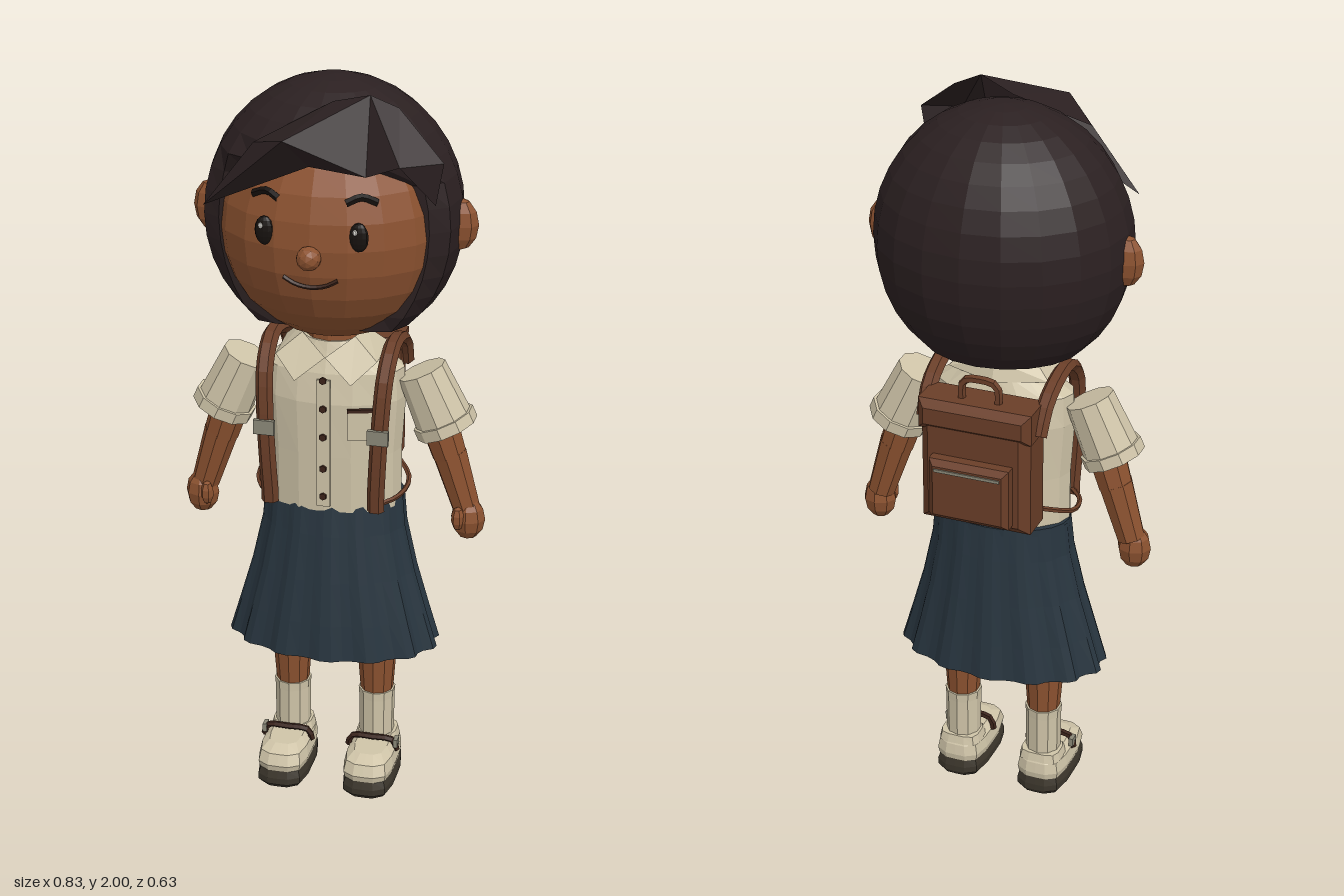
import * as THREE from 'three';

const mat = (name, color, sheet) => new THREE.MeshStandardMaterial({
  name, color, flatShading: true, side: sheet ? THREE.DoubleSide : THREE.FrontSide });
const V = (x, y, z) => new THREE.Vector3(x, y, z);

// Closed skin over elliptical rings [y, rx, rz, cz, cx]; wave(i) scales the radius round each ring.
function loft(rings, segs, wave = () => 1, caps = true) {
  const pos = [], idx = [];
  rings.forEach(([y, rx, rz, cz = 0, cx = 0], j) => {
    for (let i = 0; i < segs; i++) {
      const a = (i / segs) * Math.PI * 2, k = wave(i, j);
      pos.push(cx + Math.sin(a) * rx * k, y, cz + Math.cos(a) * rz * k);
    }
  });
  for (let j = 0; j < rings.length - 1; j++) for (let i = 0; i < segs; i++) {
    const n = (i + 1) % segs, a = j * segs, b = a + segs;
    idx.push(a + i, a + n, b + i, a + n, b + n, b + i);
  }
  if (caps) {
    const t = (rings.length - 1) * segs;
    for (let i = 1; i < segs - 1; i++) idx.push(0, i + 1, i, t, t + i, t + i + 1);
  }
  return mesh3(pos, idx);
}

function mesh3(pos, idx) {
  const g = new THREE.BufferGeometry();
  g.setAttribute('position', new THREE.Float32BufferAttribute(pos, 3));
  g.setIndex(idx);
  g.computeVertexNormals();
  return g;
}

// Tapered cylinder from a to b
function limb(a, b, ra, rb, segs = 8) {
  const d = b.clone().sub(a), g = new THREE.CylinderGeometry(rb, ra, d.length(), segs);
  g.applyQuaternion(new THREE.Quaternion().setFromUnitVectors(V(0, 1, 0), d.normalize()));
  return g.translate((a.x + b.x) / 2, (a.y + b.y) / 2, (a.z + b.z) / 2);
}
const tube = (pts, r, n = 10, sides = 5) =>
  new THREE.TubeGeometry(new THREE.CatmullRomCurve3(pts), n, r, sides);
const ball = (rx, ry, rz, x, y, z, w = 8, h = 6) =>
  new THREE.SphereGeometry(1, w, h).scale(rx, ry, rz).translate(x, y, z);
const box = (w, h, d, x, y, z) => new THREE.BoxGeometry(w, h, d).translate(x, y, z);

// Box with chamfered edges
function softBox(w, h, d, bevel, x, y, z) {
  const s = new THREE.Shape(), a = w / 2 - bevel, b = h / 2 - bevel;
  s.moveTo(-a, -b).lineTo(a, -b).lineTo(a, b).lineTo(-a, b).closePath();
  const g = new THREE.ExtrudeGeometry(s, { depth: d - 2 * bevel, bevelSize: bevel, bevelThickness: bevel, bevelSegments: 1 });
  return g.translate(x, y, z - d / 2 + bevel);
}

// Depth of the face surface at x, y
const faceZ = (x, y) => -0.02 + 0.27 * Math.sqrt(1 - (x / 0.305) ** 2 - ((y - 1.62) / 0.31) ** 2);

export function createModel() {
  const skin = mat('skin', 0x8c5230), hair = mat('hair', 0x2b2021, true), shirt = mat('shirt cream', 0xcfc4a8, true);
  const navy = mat('skirt navy', 0x28353f, true), leather = mat('leather brown', 0x6a3e28), dark = mat('dark brown', 0x3a2219);
  const sole = mat('sole', 0x3b352b), black = mat('eye black', 0x17120f), metal = mat('buckle grey', 0x8b8878);
  const white = mat('eye glint', 0xf2efe8);
  const model = new THREE.Group();
  const add = (name, geo, m) => {
    const o = new THREE.Mesh(geo, m);
    o.name = name;
    model.add(o);
  };

  // Head, nose and neck
  add('head', ball(0.305, 0.31, 0.27, 0, 1.62, -0.02, 20, 14), skin);
  add('nose', new THREE.IcosahedronGeometry(0.032, 1).translate(0, 1.605, 0.254), skin);
  add('neck', loft([[1.2, 0.08, 0.07, -0.01], [1.36, 0.07, 0.065, -0.01]], 10), skin);
  add('mouth', tube([[-0.07, 1.546], [-0.04, 1.53], [0, 1.523], [0.04, 1.53], [0.07, 1.546]]
    .map(([x, y]) => V(x, y, faceZ(x, y))), 0.006), dark);

  // Hair shell, cut back to a flat front edge around the face and a flat lower edge
  const shell = new THREE.SphereGeometry(1, 20, 18).scale(0.337, 0.36, 0.3).translate(0, 1.64, -0.02);
  const p = shell.attributes.position;
  for (let i = 0; i < p.count; i++) {
    const y = p.getY(i);
    p.setZ(i, Math.min(p.getZ(i), 0.105 + Math.max(0, y - 1.79) * 2));
    p.setY(i, Math.max(y, 1.365));
  }
  shell.computeVertexNormals();
  add('hairShell', shell, hair);

  // Swept fringe: one wide lock to the right, a short one to the left
  add('fringe', mesh3([
    0.13, 2.0, 0.15, -0.05, 1.92, 0.315, -0.28, 1.71, 0.215, 0.0, 1.84, 0.25, 0.14, 1.82, 0.24,
    -0.15, 1.88, 0.21, 0.03, 1.97, 0.12, 0.2, 1.97, 0.14, 0.33, 1.865, 0.225, 0.31, 1.755, 0.22, 0.23, 1.86, 0.27,
  ], [6, 1, 0, 6, 5, 1, 5, 2, 1, 0, 1, 4, 2, 3, 1, 1, 3, 4, 0, 10, 7, 7, 10, 8, 8, 10, 9, 0, 4, 10]), hair);

  // Shirt body with buttons, placket and pocket
  add('shirtBody', loft([[0.84, 0.185, 0.115, -0.015], [1.0, 0.185, 0.115, -0.012], [1.15, 0.195, 0.115, -0.01],
    [1.23, 0.19, 0.1, -0.01], [1.28, 0.115, 0.08, -0.01], [1.31, 0.08, 0.07, -0.01]], 16), shirt);
  add('placket', box(0.036, 0.36, 0.008, 0, 1.04, 0.105), shirt);
  for (const y of [0.89, 0.97, 1.06, 1.14, 1.22])
    add('button', new THREE.CylinderGeometry(0.01, 0.01, 0.008, 6).rotateX(Math.PI / 2).translate(0, y, 0.112), dark);
  add('pocket', box(0.09, 0.085, 0.008, 0, 0, 0).rotateY(0.3).translate(0.108, 1.1, 0.095), shirt);
  add('pocketTrim', box(0.092, 0.009, 0.01, 0, 0, 0).rotateY(0.3).translate(0.108, 1.14, 0.096), dark);

  // Pleated skirt
  add('skirt', loft([[0.42, 0.29, 0.178, -0.02], [0.52, 0.26, 0.166, -0.02], [0.64, 0.225, 0.152, -0.022],
    [0.77, 0.196, 0.136, -0.025], [0.86, 0.188, 0.123, -0.027]], 56,
  (i, j) => (i % 4 < 2 ? 1.01 : 0.955 + j * 0.009), false), navy);
  add('waistband', loft([[0.845, 0.189, 0.124, -0.027], [0.865, 0.188, 0.123, -0.027]], 24), navy);

  for (const s of [1, -1]) {
    const P = (x, y, z) => V(x * s, y, z);
    // Face details
    const ex = 0.12 * s, ez = faceZ(0.12, 1.66);
    add('eye', ball(0.025, 0.038, 0.012, ex, 1.66, ez, 12, 8), black);
    add('eyeGlint', ball(0.006, 0.008, 0.004, ex - 0.007, 1.675, ez + 0.011, 6, 4), white);
    add('eyebrow', tube([[0.085, 1.742], [0.12, 1.755], [0.158, 1.74]]
      .map(([x, y]) => P(x, y, faceZ(x, y))), 0.01, 6), black);
    add('ear', ball(0.05, 0.07, 0.034, 0.325 * s, 1.63, -0.02), skin);

    // Collar flap
    add('collar', mesh3([0, 1.275, 0.088, 0.07 * s, 1.325, 0.045, 0.135 * s, 1.27, 0.075, 0.075 * s, 1.215, 0.118,
      0.085 * s, 1.325, -0.03, 0.14 * s, 1.275, -0.06, 0, 1.325, -0.085, 0, 1.27, -0.105],
    [0, 3, 1, 1, 3, 2, 1, 2, 4, 2, 5, 4, 4, 5, 6, 5, 7, 6]), shirt);

    // Sleeve, arm and hand
    add('sleeve', limb(P(0.305, 1.07, -0.012), P(0.235, 1.225, -0.012), 0.078, 0.066, 10), shirt);
    add('sleeveCuff', limb(P(0.307, 1.066, -0.012), P(0.294, 1.095, -0.012), 0.084, 0.084, 10), shirt);
    add('upperArm', limb(P(0.312, 0.99, -0.016), P(0.27, 1.12, -0.012), 0.047, 0.054), skin);
    add('forearm', limb(P(0.36, 0.84, -0.018), P(0.312, 0.995, -0.016), 0.038, 0.047), skin);
    add('hand', ball(0.046, 0.06, 0.042, 0.367 * s, 0.812, -0.012), skin);
    add('thumb', ball(0.018, 0.034, 0.02, 0.345 * s, 0.822, 0.022, 6, 5), skin);

    // Leg, sock and shoe
    const lx = 0.12 * s, cx = 0.121 * s;
    add('leg', loft([[0.24, 0.044, 0.046, -0.025, lx], [0.36, 0.053, 0.054, -0.023, lx], [0.6, 0.06, 0.06, -0.02, lx]], 10), skin);
    add('sock', loft([[0.1, 0.048, 0.05, -0.025, lx], [0.235, 0.049, 0.051, -0.025, lx], [0.26, 0.051, 0.052, -0.025, lx]], 10), shirt);
    const shoe = (name, rows, m) => {
      // Rounded-rectangle outline stretched to each row [y, half width, front z, back z]
      const g = loft(rows.map(([y, w, f, b]) => [y, w, (f - b) / 2, (f + b) / 2, cx]), 16,
        (i) => 1 / Math.pow(Math.abs(Math.sin(i * Math.PI / 8)) ** 4 + Math.abs(Math.cos(i * Math.PI / 8)) ** 4, 0.25));
      add(name, g, m);
    };
    shoe('shoeSole', [[0, 0.061, 0.148, -0.088], [0.012, 0.07, 0.157, -0.095], [0.03, 0.07, 0.157, -0.095], [0.052, 0.063, 0.15, -0.09]], sole);
    shoe('shoeUpper', [[0.05, 0.066, 0.15, -0.09], [0.068, 0.07, 0.154, -0.093], [0.098, 0.064, 0.14, -0.088], [0.114, 0.045, 0.105, -0.078]], shirt);
    shoe('shoeHeel', [[0.1, 0.06, 0.025, -0.086], [0.125, 0.054, 0.01, -0.08]], shirt);
    add('shoeStrap', tube([V(cx - 0.069, 0.095, 0.03), V(cx - 0.058, 0.126, 0.034), V(cx, 0.131, 0.037),
      V(cx + 0.058, 0.126, 0.034), V(cx + 0.069, 0.095, 0.03)], 0.009), dark);
    add('shoeBuckle', box(0.012, 0.024, 0.028, cx + 0.066 * s, 0.118, 0.028), metal);

    // Backpack strap with its buckle and thin lower tail
    const strap = tube([V(0, 0.865, 0.115), V(0, 1.0, 0.122), V(0, 1.14, 0.116), V(0, 1.24, 0.09), V(0, 1.295, 0.02),
      V(0, 1.29, -0.06), V(0, 1.25, -0.14), V(0, 1.18, -0.18)], 0.018, 20, 6).scale(1.3, 1, 1);
    const sp = strap.attributes.position;
    for (let i = 0; i < sp.count; i++) sp.setX(i, sp.getX(i) + s * (0.143 + Math.max(0, sp.getY(i) - 0.9) * 0.05));
    add('backpackStrap', strap, leather);
    add('strapBuckle', box(0.056, 0.04, 0.012, 0.152 * s, 1.085, 0.137), metal);
    add('strapTail', tube([P(0.14, 0.88, 0.115), P(0.19, 0.885, 0.05), P(0.2, 0.9, -0.04), P(0.13, 0.94, -0.13)], 0.007), leather);
  }

  // Backpack with lid, pocket and handle
  add('backpack', softBox(0.3, 0.345, 0.14, 0.025, 0, 1.08, -0.168), leather);
  add('backpackLid', softBox(0.31, 0.085, 0.135, 0.02, 0, 1.215, -0.176), leather);
  add('backpackPocket', softBox(0.22, 0.17, 0.06, 0.015, 0, 1.025, -0.25), leather);
  add('pocketZip', box(0.18, 0.008, 0.008, 0, 1.085, -0.28), metal);
  add('backpackHandle', tube([V(-0.05, 1.24, -0.185), V(-0.045, 1.305, -0.185), V(0, 1.315, -0.185),
    V(0.045, 1.305, -0.185), V(0.05, 1.24, -0.185)], 0.011, 12), leather);

  return model;
}
